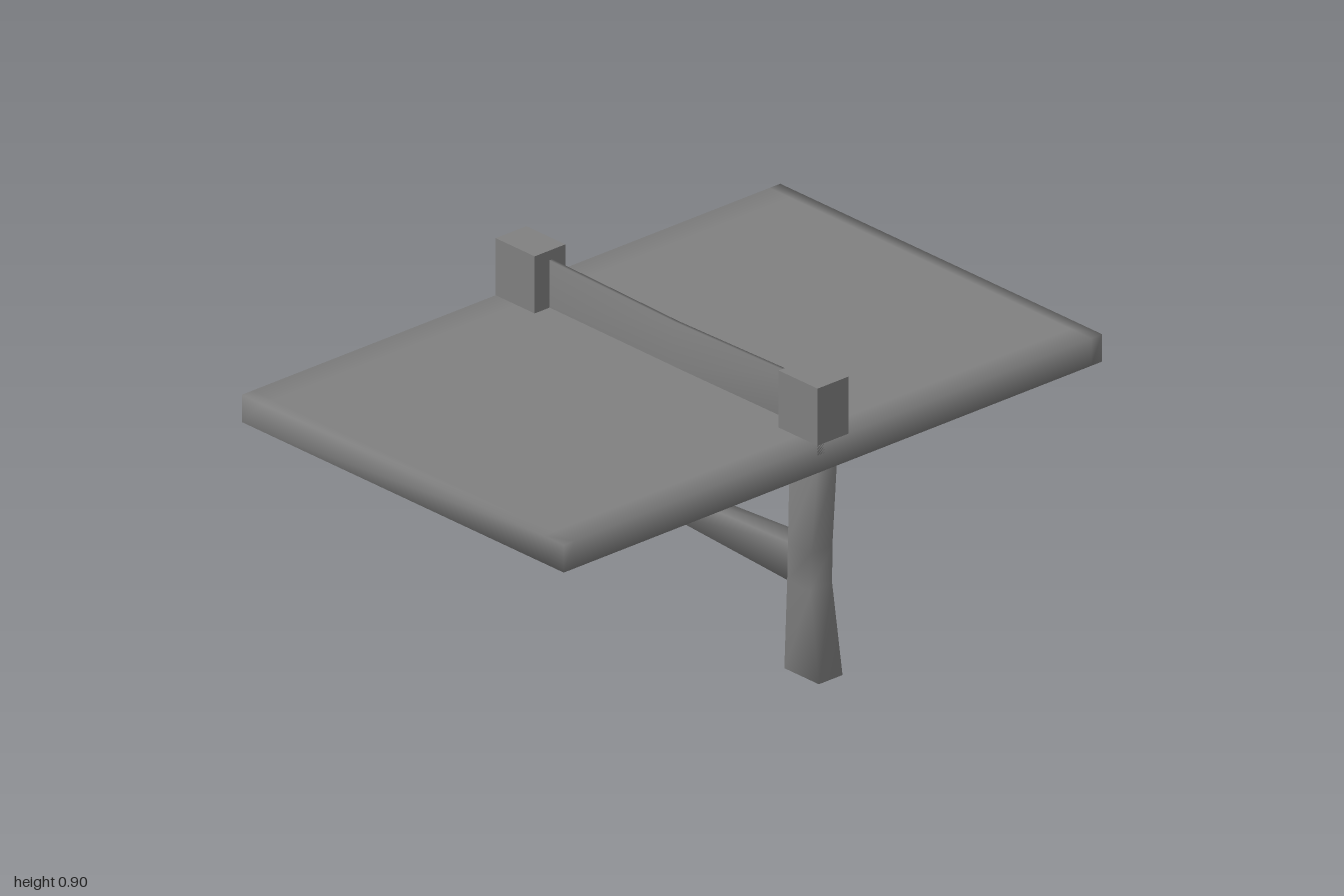
import * as THREE from 'three';
import { mergeVertices } from 'three/addons/utils/BufferGeometryUtils.js';

const material = new THREE.MeshStandardMaterial({ color: 0x808080 });

// Weld the corners so the normals are shared and the shading is soft
function softMesh(geometry, name) {
  geometry.deleteAttribute('uv');
  geometry.deleteAttribute('normal');
  const welded = mergeVertices(geometry, 1e-5);
  welded.computeVertexNormals();
  const mesh = new THREE.Mesh(welded, material);
  mesh.name = name;
  return mesh;
}

// Slab with a narrow band along each edge, so only the rim shades softly
function slab(name, xs, zs, y0, y1) {
  const nx = xs.length - 1, nz = zs.length - 1;
  const g = new THREE.BoxGeometry(1, 1, 1, nx, 1, nz);
  const p = g.attributes.position;
  for (let i = 0; i < p.count; i++) {
    p.setXYZ(i,
      xs[Math.round((p.getX(i) + 0.5) * nx)],
      p.getY(i) < 0 ? y0 : y1,
      zs[Math.round((p.getZ(i) + 0.5) * nz)]);
  }
  return softMesh(g, name);
}

// Box beam through rectangular sections [position, a0, a1, z0, z1].
// axis 'x': a is the y range; axis 'y': a is the x range.
function beam(name, axis, sections) {
  const n = sections.length - 1;
  const g = axis === 'x' ? new THREE.BoxGeometry(1, 1, 1, n, 1, 1)
    : new THREE.BoxGeometry(1, 1, 1, 1, n, 1);
  const p = g.attributes.position;
  for (let i = 0; i < p.count; i++) {
    const along = axis === 'x' ? p.getX(i) : p.getY(i);
    const across = axis === 'x' ? p.getY(i) : p.getX(i);
    const [t, a0, a1, z0, z1] = sections[Math.round((along + 0.5) * n)];
    const a = across < 0 ? a0 : a1;
    const z = p.getZ(i) < 0 ? z0 : z1;
    if (axis === 'x') p.setXYZ(i, t, a, z);
    else p.setXYZ(i, a, t, z);
  }
  return softMesh(g, name);
}

export function createModel() {
  const group = new THREE.Group();
  group.name = 'tableTennisTable';

  // Table slab
  group.add(slab('tableTop', [-0.653, -0.57, 0.57, 0.653], [-1, -0.96, 0.96, 1], 0.647, 0.73));

  for (const side of [1, -1]) {
    const label = side > 0 ? 'left' : 'right';
    const span = (a, b) => (side > 0 ? [a, b] : [-b, -a]);

    // Crisp net posts
    const post = new THREE.Mesh(new THREE.BoxGeometry(0.158, 0.203, 0.114), material);
    post.position.set(side * 0.574, 0.8015, 0);
    post.name = label + 'NetPost';
    group.add(post);

    // Waisted legs
    group.add(beam(label + 'Leg', 'y', [
      [0, ...span(0.505, 0.645), -0.043, 0.045],
      [0.265, ...span(0.51, 0.604), -0.042, 0.039],
      [0.38, ...span(0.512, 0.606), -0.041, 0.038],
      [0.66, ...span(0.517, 0.632), -0.035, 0.036],
    ]));
  }

  // Stretcher, thinner in the middle
  group.add(beam('stretcher', 'x', [
    [-0.53, 0.264, 0.382, -0.038, 0.036],
    [0, 0.286, 0.36, -0.025, 0.025],
    [0.53, 0.264, 0.382, -0.038, 0.036],
  ]));

  // Net, sagging and bowed backwards at its top edge
  const net = beam('net', 'x', [
    [-0.51, 0.725, 0.874, -0.009, 0.002],
    [0, 0.725, 0.854, -0.014, -0.003],
    [0.51, 0.725, 0.874, -0.009, 0.002],
  ]);
  const p = net.geometry.attributes.position;
  for (let i = 0; i < p.count; i++) {
    if (Math.abs(p.getX(i)) < 0.1) p.setZ(i, p.getZ(i) + (p.getY(i) > 0.8 ? -0.01 : 0.008));
  }
  net.geometry.computeVertexNormals();
  group.add(net);

  return group;
}
